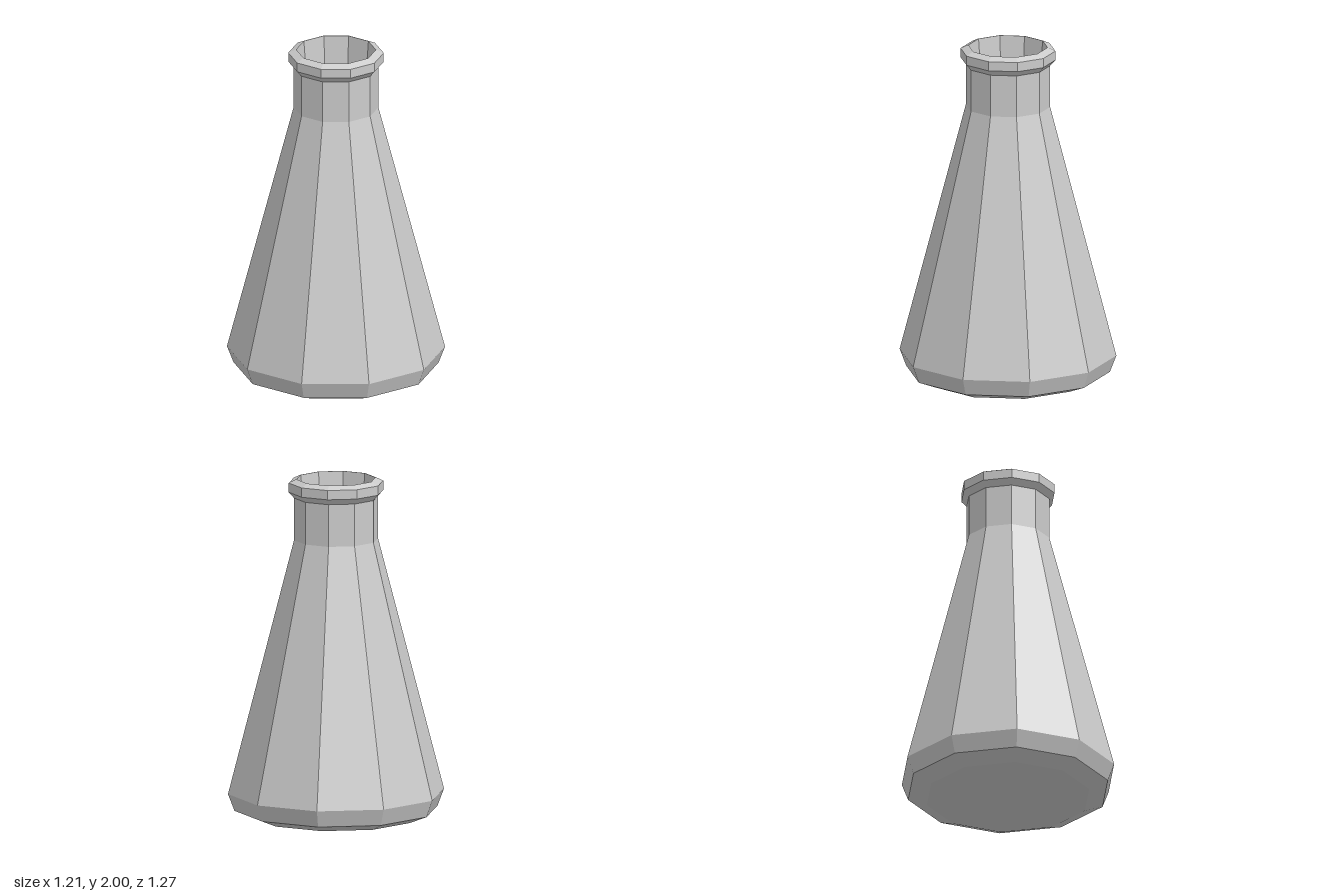
import * as THREE from 'three';

const SIDES = 10;

// Ten-sided faceted ring or shell turned from [radius, height] pairs
function turned(name, profile, material) {
  const points = profile.map(([r, y]) => new THREE.Vector2(r, y));
  const mesh = new THREE.Mesh(new THREE.LatheGeometry(points, SIDES), material);
  mesh.name = name;
  return mesh;
}

export function createModel() {
  const group = new THREE.Group();
  group.name = 'conicalFlask';
  const glass = new THREE.MeshStandardMaterial({ color: 0xcccccc, flatShading: true });

  // Outer shell: flat bottom, bevelled foot, cone and straight neck
  group.add(turned('body', [
    [0, 0], [0.485, 0], [0.597, 0.045], [0.635, 0.145], [0.247, 1.64], [0.247, 1.89],
  ], glass));

  // Bevelled collar around the mouth
  group.add(turned('lip', [
    [0.247, 1.89], [0.278, 1.925], [0.278, 1.98], [0.236, 2], [0.232, 2],
  ], glass));

  // Hollow inside: tapering neck, cone and floor
  group.add(turned('interior', [
    [0.232, 2], [0.203, 1.64], [0.58, 0.15], [0.55, 0.06], [0, 0.04],
  ], glass));

  return group;
}
